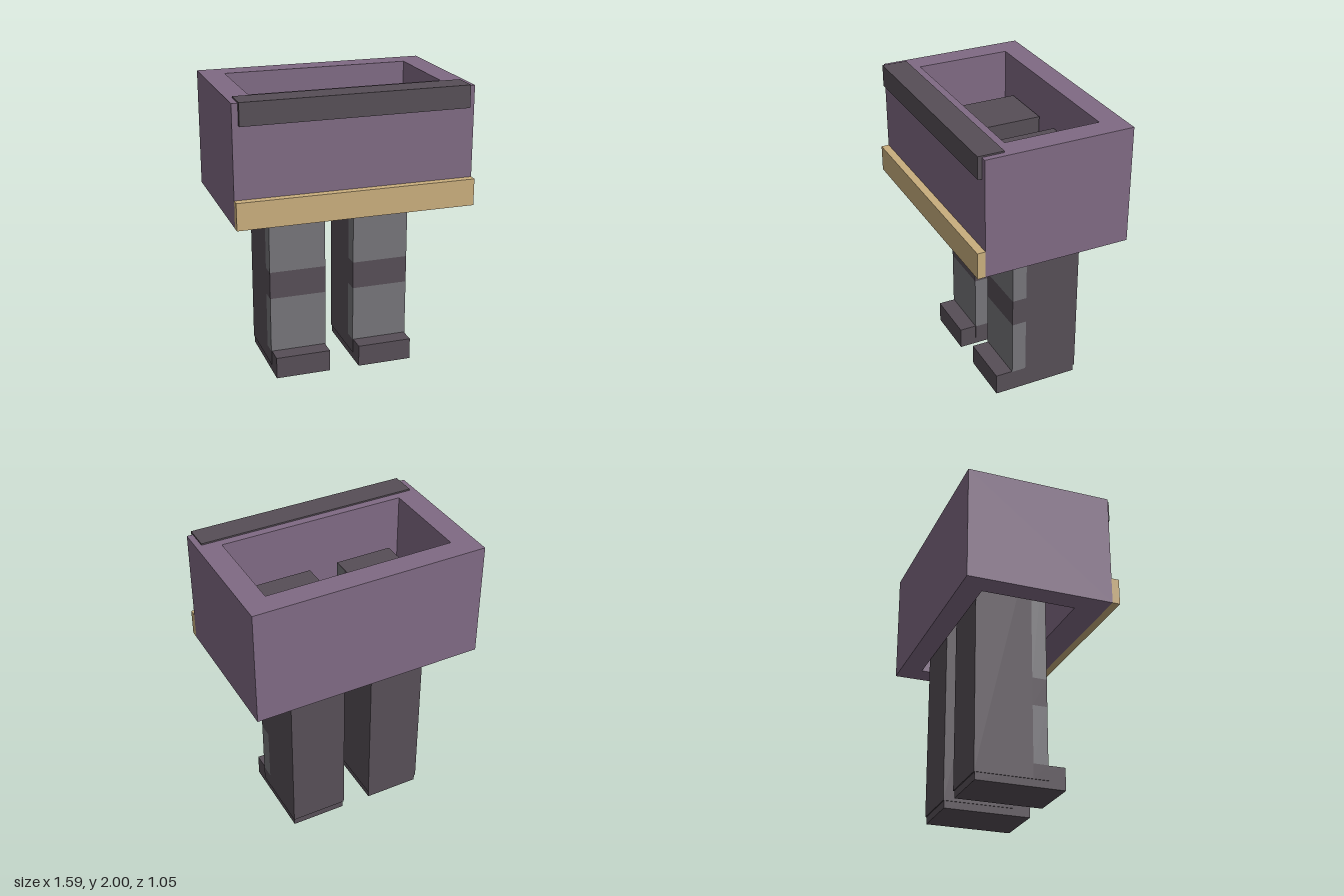
import * as THREE from 'three';

const mat = (name, color) => {
  const m = new THREE.MeshStandardMaterial({ color });
  m.name = name;
  return m;
};

// Box given by its min and max corners
function box(name, material, [x0, y0, z0], [x1, y1, z1]) {
  const mesh = new THREE.Mesh(new THREE.BoxGeometry(x1 - x0, y1 - y0, z1 - z0), material);
  mesh.position.set((x0 + x1) / 2, (y0 + y1) / 2, (z0 + z1) / 2);
  mesh.name = name;
  return mesh;
}

const rect = (path, x, y0, y1) =>
  path.moveTo(-x, y0).lineTo(x, y0).lineTo(x, y1).lineTo(-x, y1).closePath();

export function createModel() {
  const purple = mat('purple', 0x7f6a83);
  const dark = mat('darkBrown', 0x564e56);
  const grey = mat('grey', 0x757479);
  const tan = mat('tan', 0xc9ae7d);
  const model = new THREE.Group();
  model.name = 'model';

  // Hollow body, open above and below
  const outline = rect(new THREE.Shape(), 0.795, -0.47, 0.523);
  outline.holes.push(rect(new THREE.Path(), 0.64, -0.27, 0.37));
  const geometry = new THREE.ExtrudeGeometry(outline, { depth: 0.79, bevelEnabled: false });
  geometry.rotateX(-Math.PI / 2);
  const body = new THREE.Mesh(geometry, purple);
  body.name = 'body';
  body.position.y = 1.2;
  model.add(body);

  // Collar strip over the upper front edge and belt along the lower front
  model.add(box('collar', dark, [-0.755, 1.85, 0.325], [0.755, 2, 0.497]));
  model.add(box('belt', tan, [-0.795, 1.2, 0.47], [0.795, 1.38, 0.523]));

  // Legs: dark back, grey front with a dark knee band, and a shoe
  for (const side of [-1, 1]) {
    const leg = new THREE.Group();
    leg.name = side > 0 ? 'leftLeg' : 'rightLeg';
    const w = 0.195;
    leg.add(
      box('legBack', dark, [-w, 0.05, -0.357], [w, 1.72, 0.03]),
      box('legFoot', dark, [-w, 0.05, 0.03], [w, 0.15, 0.13]),
      box('shin', grey, [-w, 0.15, 0.03], [w, 0.54, 0.13]),
      box('kneeBand', dark, [-w, 0.54, 0.03], [w, 0.73, 0.13]),
      box('thigh', grey, [-w, 0.73, 0.03], [w, 1.715, 0.13]),
      box('legTop', dark, [-w, 1.715, 0.03], [w, 1.72, 0.13]),
      box('shoe', dark, [-0.19, 0, -0.35], [0.19, 0.15, 0.247]),
    );
    leg.position.x = side * 0.295;
    model.add(leg);
  }
  return model;
}
